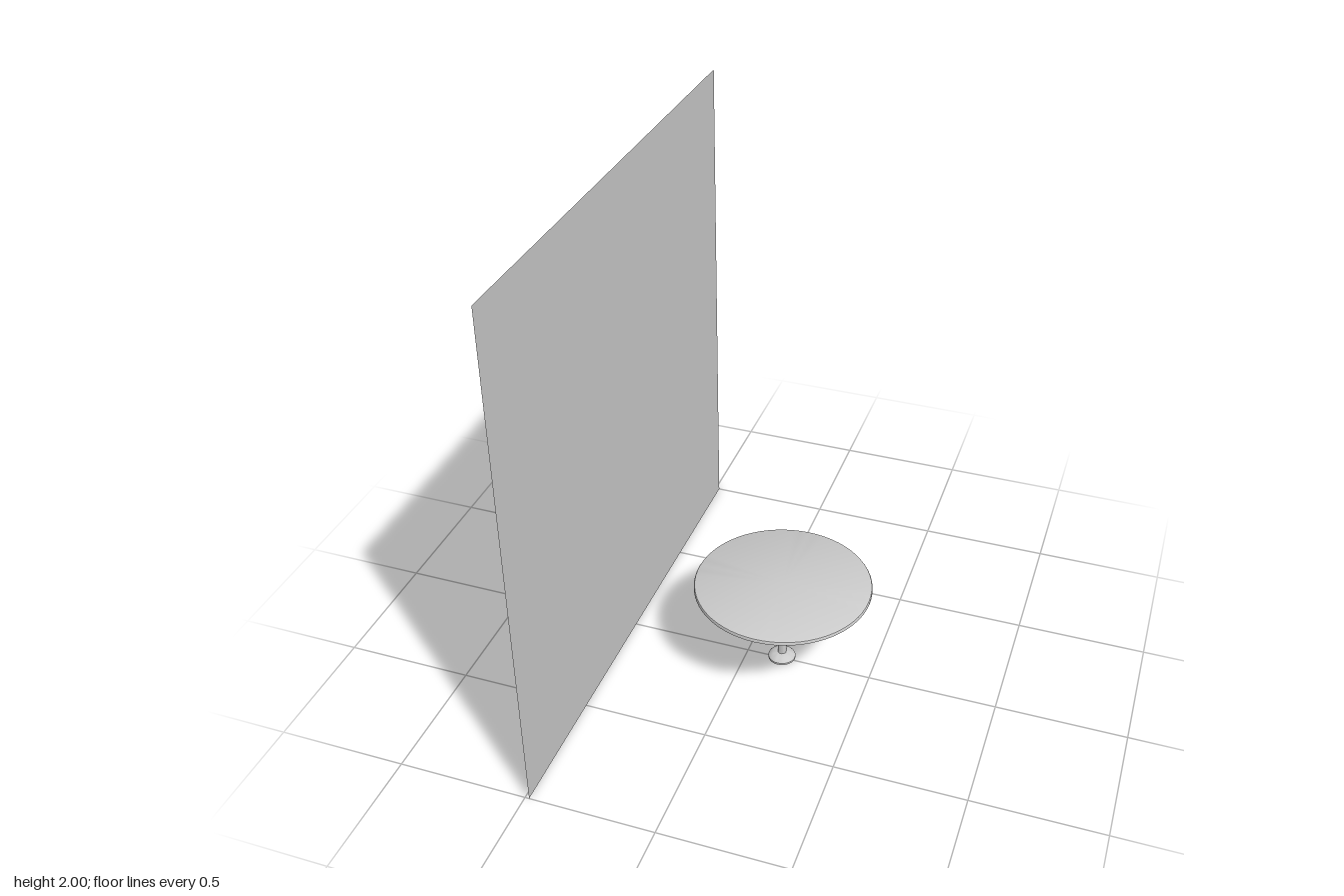
import * as THREE from 'three';
import { toCreasedNormals } from 'three/addons/utils/BufferGeometryUtils.js';

export function createModel() {
  const model = new THREE.Group();
  model.name = 'tableWithPanel';
  const grey = new THREE.MeshStandardMaterial({ color: 0xcccccc });
  const thin = new THREE.MeshStandardMaterial({ color: 0xcccccc, side: THREE.DoubleSide });

  // Thin upright panel, facing the table
  const panel = new THREE.Mesh(new THREE.PlaneGeometry(2, 2), thin);
  panel.name = 'panel';
  panel.rotation.y = Math.PI / 2;
  panel.position.set(-0.484, 1, 0);
  model.add(panel);

  // Round pedestal table
  const table = new THREE.Group();
  table.name = 'table';
  table.position.set(0.139, 0, -0.01);
  model.add(table);

  // Turned part from a profile of [radius, height], listed bottom to top
  function turned(name, profile, segments) {
    const points = profile.map(([r, y]) => new THREE.Vector2(r, y));
    const geometry = toCreasedNormals(new THREE.LatheGeometry(points, segments), 0.6);
    const mesh = new THREE.Mesh(geometry, grey);
    mesh.name = name;
    table.add(mesh);
  }

  // Domed foot with a small collar
  turned('foot', [
    [0, 0], [0.054, 0], [0.054, 0.008], [0.048, 0.015], [0.036, 0.021], [0.022, 0.026], [0, 0.027],
  ], 32);

  // Tapered column
  turned('column', [[0.017, 0.02], [0.016, 0.12], [0.013, 0.25], [0.012, 0.352]], 24);

  // Mounting plate under the top
  turned('mountingPlate', [[0, 0.347], [0.05, 0.347], [0.1, 0.351], [0.1, 0.356], [0, 0.356]], 32);

  // Top with a softened rim and slightly dished underside
  turned('tableTop', [
    [0, 0.353], [0.29, 0.354], [0.338, 0.357], [0.344, 0.36], [0.344, 0.367], [0.341, 0.372], [0.334, 0.375], [0, 0.375],
  ], 64);

  return model;
}
